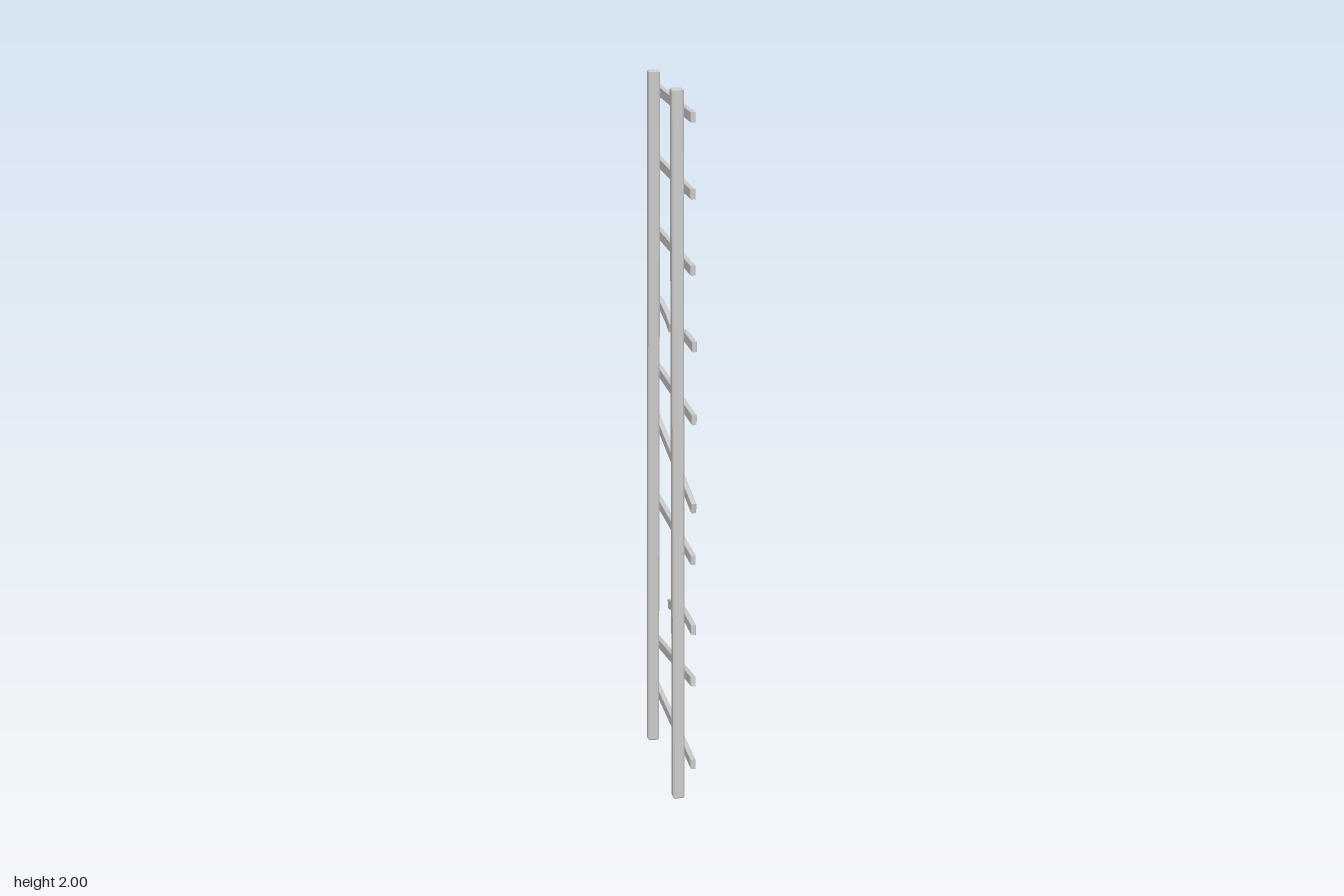
import * as THREE from 'three';

const material = new THREE.MeshStandardMaterial({ color: 0xcccccc, flatShading: true });
const nailMaterial = new THREE.MeshStandardMaterial({ color: 0xcccccc });

const RAIL_BOTTOM = 0.2, RAIL_TOP = 0.168, RUNG_BACK = 0.008, RUNG_FRONT = 0.022;
const railZ = (y) => THREE.MathUtils.lerp(RAIL_BOTTOM, RAIL_TOP, y / 2);

function add(group, name, geometry, mat = material) {
  const mesh = new THREE.Mesh(geometry, mat);
  mesh.name = name;
  group.add(mesh);
  return mesh;
}

// Upright with chamfered edges, leaning inwards towards the top
function railGeometry(side) {
  const hx = 0.0165, hz = 0.0155, b = 0.004;
  const shape = new THREE.Shape([
    [-hx + b, -hz], [hx - b, -hz], [hx, -hz + b], [hx, hz - b],
    [hx - b, hz], [-hx + b, hz], [-hx, hz - b], [-hx, -hz + b],
  ].map(([x, y]) => new THREE.Vector2(x, y)));
  const e = 0.003;
  const geometry = new THREE.ExtrudeGeometry(shape, {
    depth: 2 - 2 * e, bevelThickness: e, bevelSize: e, bevelOffset: -e, bevelSegments: 1,
  });
  geometry.rotateX(-Math.PI / 2).translate(-0.0105, e, 0);
  const p = geometry.attributes.position;
  for (let i = 0; i < p.count; i++) p.setZ(i, p.getZ(i) + side * railZ(p.getY(i)));
  geometry.computeVertexNormals();
  return geometry;
}

// Flat slat following a path of [z, y] points from +z to -z
function slatGeometry(path) {
  const points = path.map(([z, y]) => new THREE.Vector2(-z, y));
  const half = 0.014, upper = [], lower = [];
  points.forEach((point, i) => {
    const dir = points[Math.min(i + 1, points.length - 1)].clone()
      .sub(points[Math.max(i - 1, 0)]).normalize();
    const n = new THREE.Vector2(-dir.y, dir.x).multiplyScalar(half);
    upper.push(point.clone().add(n));
    lower.push(point.clone().sub(n));
  });
  const b = 0.0015;
  const geometry = new THREE.ExtrudeGeometry(new THREE.Shape([...lower, ...upper.reverse()]), {
    depth: RUNG_FRONT - RUNG_BACK - 2 * b,
    bevelThickness: b, bevelSize: b, bevelOffset: -b, bevelSegments: 1,
  });
  return geometry.rotateY(Math.PI / 2).translate(RUNG_BACK + b, 0, 0);
}

// Height of a path at a given z, or null where the slat is missing
function heightAt(path, z) {
  for (let i = 0; i < path.length - 1; i++) {
    const [z0, y0] = path[i], [z1, y1] = path[i + 1];
    if (z <= z0 && z >= z1) return THREE.MathUtils.mapLinear(z, z0, z1, y0, y1);
  }
  return null;
}

export function createModel() {
  const model = new THREE.Group();
  model.name = 'brokenLadder';

  add(model, 'frontRail', railGeometry(1));
  add(model, 'backRail', railGeometry(-1));

  // Whole, tilted and snapped slats
  const slats = {
    rung1: [[0.288, 0.137], [-0.284, 0.137]],
    tiltedRung1: [[0.284, 0.385], [-0.28, 0.288]],
    snappedRung1: [[0.288, 0.538], [0.17, 0.537], [0.13, 0.532], [0.08, 0.521], [-0.057, 0.484]],
    rung2: [[0.279, 0.738], [-0.276, 0.738]],
    tiltedRung2: [[0.284, 0.887], [-0.28, 0.986]],
    rung3: [[0.286, 1.136], [-0.281, 1.136]],
    snappedRung2Front: [[0.288, 1.337], [0.18, 1.337], [0.14, 1.332], [0.07, 1.326]],
    snappedRung2Back: [[-0.04, 1.306], [-0.085, 1.32], [-0.15, 1.331], [-0.2, 1.337], [-0.285, 1.337]],
    rung4: [[0.262, 1.537], [-0.258, 1.537]],
    rung5: [[0.259, 1.738], [-0.255, 1.738]],
    rung6: [[0.257, 1.938], [-0.252, 1.938]],
  };

  // Domed nail heads where slats cross the rails
  const nail = new THREE.SphereGeometry(0.007, 12, 4, 0, Math.PI * 2, 0, Math.PI / 2)
    .scale(1, 0.6, 1).rotateZ(-Math.PI / 2);
  // Nail shafts joining slat and rail
  const shaft = new THREE.CylinderGeometry(0.003, 0.003, 0.02, 8).rotateZ(Math.PI / 2);

  for (const [name, path] of Object.entries(slats)) {
    add(model, name, slatGeometry(path));
    for (const side of [1, -1]) {
      const z = side * railZ(path[0][1]);
      const y = heightAt(path, z);
      if (y === null) continue;
      add(model, 'nailHead', nail, nailMaterial).position.set(RUNG_FRONT, y, z);
      add(model, 'nailShaft', shaft, nailMaterial).position.set(0.008, y, z);
    }
  }
  return model;
}
